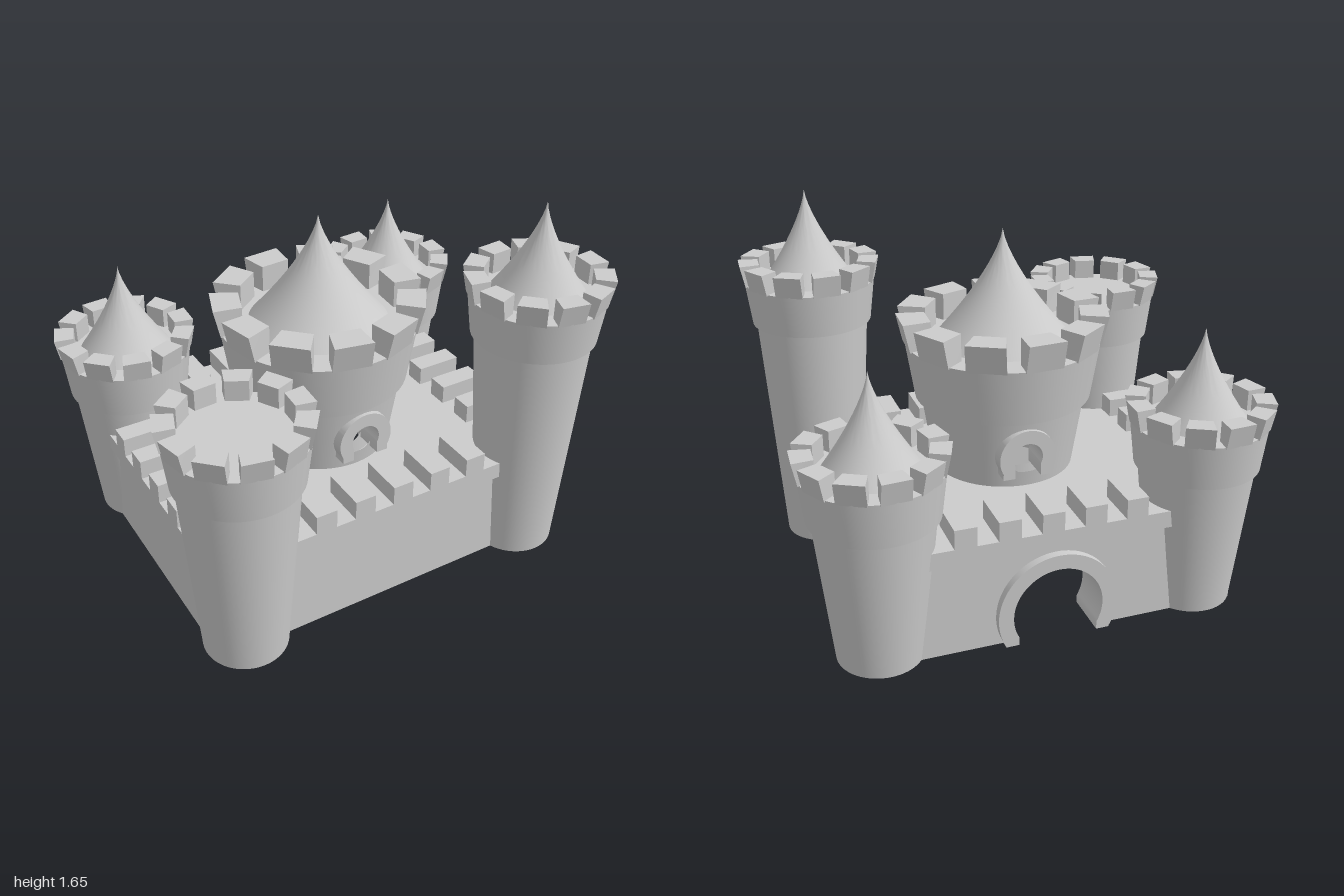
import * as THREE from 'three';
import { toCreasedNormals } from 'three/addons/utils/BufferGeometryUtils.js';

const stone = new THREE.MeshStandardMaterial({ color: 0xcccccc });
const stoneTwoSided = new THREE.MeshStandardMaterial({ color: 0xcccccc, side: THREE.DoubleSide });

function part(name, geometry, parent, x = 0, y = 0, z = 0, material = stone) {
  const mesh = new THREE.Mesh(geometry, material);
  mesh.name = name;
  mesh.position.set(x, y, z);
  parent.add(mesh);
  return mesh;
}

function box(name, parent, x0, x1, y0, y1, z0, z1) {
  part(name, new THREE.BoxGeometry(x1 - x0, y1 - y0, z1 - z0), parent,
    (x0 + x1) / 2, (y0 + y1) / 2, (z0 + z1) / 2);
}

function lathe(points) {
  const profile = points.map(([r, y]) => new THREE.Vector2(r, y));
  return toCreasedNormals(new THREE.LatheGeometry(profile, 64), 0.5);
}

// Roof that narrows to a point along a slightly hollow curve
function spire(radius, height) {
  const points = [];
  for (let i = 0; i <= 12; i++) {
    const t = i / 12;
    points.push([radius * Math.pow(1 - t, 1.4), height * t]);
  }
  return lathe(points);
}

// Ring of battlement blocks that flare outward and widen toward the outside
function battlements(parent, { inner, outerLow, outerHigh, width, y, height }) {
  const geo = new THREE.BoxGeometry(1, 1, 1);
  const p = geo.attributes.position;
  for (let i = 0; i < p.count; i++) {
    const out = p.getZ(i) < 0;
    const up = p.getY(i) > 0;
    p.setXYZ(i, p.getX(i) * width * (out ? 1.2 : 0.95), up ? height : -0.005,
      -(out ? (up ? outerHigh : outerLow) : inner));
  }
  geo.computeVertexNormals();
  for (let i = 0; i < 11; i++) {
    part('battlement', geo, parent, 0, y, 0).rotation.y = 0.08 + i * Math.PI * 2 / 11;
  }
}

// Horseshoe arch frame: a ring past the half circle, on short straight legs
function archFrame(cy, outer, inner, floor, depth) {
  const a = -0.5;
  const xo = outer * Math.cos(a);
  const xi = inner * Math.cos(a);
  const shape = new THREE.Shape();
  shape.absarc(0, cy, outer, a, Math.PI - a, false);
  shape.lineTo(-xo, floor);
  shape.lineTo(-xi, floor);
  shape.absarc(0, cy, inner, Math.PI - a, a, true);
  shape.lineTo(xi, floor);
  shape.lineTo(xo, floor);
  return toCreasedNormals(new THREE.ExtrudeGeometry(shape,
    { depth, bevelEnabled: false, curveSegments: 32 }), 0.5);
}

// Corner tower: tapered shaft, wider collar, battlements, optional roof
function tower(name, parent, x, z, collarY, deckY, topY, roofed) {
  const group = new THREE.Group();
  group.name = name;
  group.position.set(x, 0, z);
  parent.add(group);
  part('shaft', lathe([[0, 0], [0.18, 0], [0.247, collarY]]), group);
  part('collar', lathe([[0.2, collarY], [0.264, collarY], [0.287, deckY], [0, deckY]]), group);
  battlements(group, { inner: 0.22, outerLow: 0.286, outerHigh: 0.305,
    width: 0.1, y: deckY, height: topY - deckY });
  if (roofed) part('roof', spire(0.2, 0.4), group, 0, deckY, 0);
}

// Hollow keep wall with a window opening at the front and back
function keepShaft(y0, y1, win) {
  const pos = [];
  const steps = 96;
  const outer = y => 0.31 + (y - 0.5) * 0.156;
  const inner = () => 0.25;
  const at = (a, y, rad) => [Math.sin(a) * rad(y), y, Math.cos(a) * rad(y)];
  const span = (a, r) => {
    const x = Math.sin(a) * r;
    const h = Math.sqrt(Math.max(0, win.r * win.r - x * x));
    return [Math.max(win.floor, win.cy - h), win.cy + h];
  };
  for (const rad of [outer, inner]) {
    const quad = (a, b, la, ha, lb, hb) => {
      const q = [at(a, la, rad), at(b, lb, rad), at(b, hb, rad), at(a, ha, rad)];
      const order = rad === outer ? [0, 1, 2, 0, 2, 3] : [0, 2, 1, 0, 3, 2];
      for (const k of order) pos.push(...q[k]);
    };
    const r = rad(win.cy);
    for (let i = 0; i < steps; i++) {
      const a = i / steps * Math.PI * 2;
      const b = (i + 1) / steps * Math.PI * 2;
      if (Math.min(Math.abs(Math.sin(a)), Math.abs(Math.sin(b))) * r < win.r) {
        const [la, ha] = span(a, r);
        const [lb, hb] = span(b, r);
        quad(a, b, y0, la, y0, lb);
        quad(a, b, ha, y1, hb, y1);
      } else {
        quad(a, b, y0, y1, y0, y1);
      }
    }
  }
  const geo = new THREE.BufferGeometry();
  geo.setAttribute('position', new THREE.Float32BufferAttribute(pos, 3));
  return toCreasedNormals(geo, 0.5);
}

export function createModel() {
  const castle = new THREE.Group();
  castle.name = 'castle';

  // Curtain walls, open underneath
  const walls = new THREE.Group();
  walls.name = 'curtainWalls';
  castle.add(walls);
  const gateX = -0.025, keepX = -0.035, keepZ = 0.02;
  box('frontWall', walls, -0.84, 0.74, 0, 0.43, 0.45, 0.62);
  box('rightWall', walls, -0.84, -0.67, 0, 0.43, -0.55, 0.5);
  box('leftWall', walls, 0.56, 0.74, 0, 0.43, -0.55, 0.5);

  // Back wall with the gate opening
  const gateY = 0.13, cut = 0.225;
  const angle = Math.asin(-gateY / cut);
  const back = new THREE.Shape();
  back.absarc(0, gateY, cut, Math.PI - angle, angle, true);
  back.lineTo(0.74 - gateX, 0);
  back.lineTo(0.74 - gateX, 0.43);
  back.lineTo(-0.84 - gateX, 0.43);
  back.lineTo(-0.84 - gateX, 0);
  part('backWall', new THREE.ExtrudeGeometry(back,
    { depth: 0.17, bevelEnabled: false, curveSegments: 32 }), walls, gateX, 0, -0.67);
  part('gateArch', archFrame(gateY, 0.26, 0.195, 0, 0.21), walls, gateX, 0, -0.705);

  // Courtyard deck with overhanging rim and a hole beneath the keep
  const corners = [[-0.87, -0.65], [0.77, -0.65], [0.77, 0.7], [-0.87, 0.7]];
  const deck = new THREE.Shape(corners.map(([x, y]) => new THREE.Vector2(x, y)));
  const rim = [];
  for (let i = 0; i < 64; i++) {
    const a = -i / 64 * Math.PI * 2;
    rim.push(new THREE.Vector2(keepX + 0.25 * Math.cos(a), -keepZ + 0.25 * Math.sin(a)));
  }
  deck.holes.push(new THREE.Path(rim));
  const deckGeo = new THREE.ExtrudeGeometry(deck, { depth: 0.075, bevelEnabled: false });
  deckGeo.rotateX(-Math.PI / 2);
  part('courtyardDeck', deckGeo, walls, 0, 0.425, 0);

  // Wall battlements
  for (let i = -2; i <= 2; i++) {
    const x = i * 0.183 + 0.002;
    box('frontBattlement', walls, x - 0.047, x + 0.047, 0.495, 0.585, 0.45, 0.65);
    box('backBattlement', walls, x - 0.047, x + 0.047, 0.495, 0.585, -0.7, -0.5);
  }
  for (let i = 0; i < 4; i++) {
    const z = -0.265 + i * 0.183;
    box('rightBattlement', walls, -0.87, -0.665, 0.495, 0.585, z - 0.047, z + 0.047);
    box('leftBattlement', walls, 0.56, 0.77, 0.495, 0.585, z - 0.047, z + 0.047);
  }

  // Central keep
  const keep = new THREE.Group();
  keep.name = 'keep';
  keep.position.set(keepX, 0, keepZ);
  castle.add(keep);
  const win = { cy: 0.658, r: 0.095, floor: 0.57 };
  part('keepShaft', keepShaft(0.45, 0.83, win), keep, 0, 0, 0, stoneTwoSided);
  part('keepCollar', lathe([[0, 0.82], [0.385, 0.82], [0.425, 1.07], [0, 1.07]]), keep);
  battlements(keep, { inner: 0.33, outerLow: 0.424, outerHigh: 0.452, width: 0.14, y: 1.07, height: 0.12 });
  part('keepRoof', spire(0.3, 0.48), keep, 0, 1.07, 0);
  const windowGeo = archFrame(win.cy, 0.125, 0.065, win.floor, 0.15);
  part('frontWindowArch', windowGeo, keep, 0.015, 0, 0.22);
  part('backWindowArch', windowGeo, keep, 0.015, 0, -0.37);

  // Corner towers
  tower('frontLeftTower', castle, 0.692, 0.557, 1.06, 1.25, 1.34, true);
  tower('frontRightTower', castle, -0.697, 0.553, 0.84, 1.035, 1.125, false);
  tower('backLeftTower', castle, 0.692, -0.557, 0.635, 0.83, 0.92, true);
  tower('backRightTower', castle, -0.697, -0.557, 0.635, 0.83, 0.92, true);

  return castle;
}
